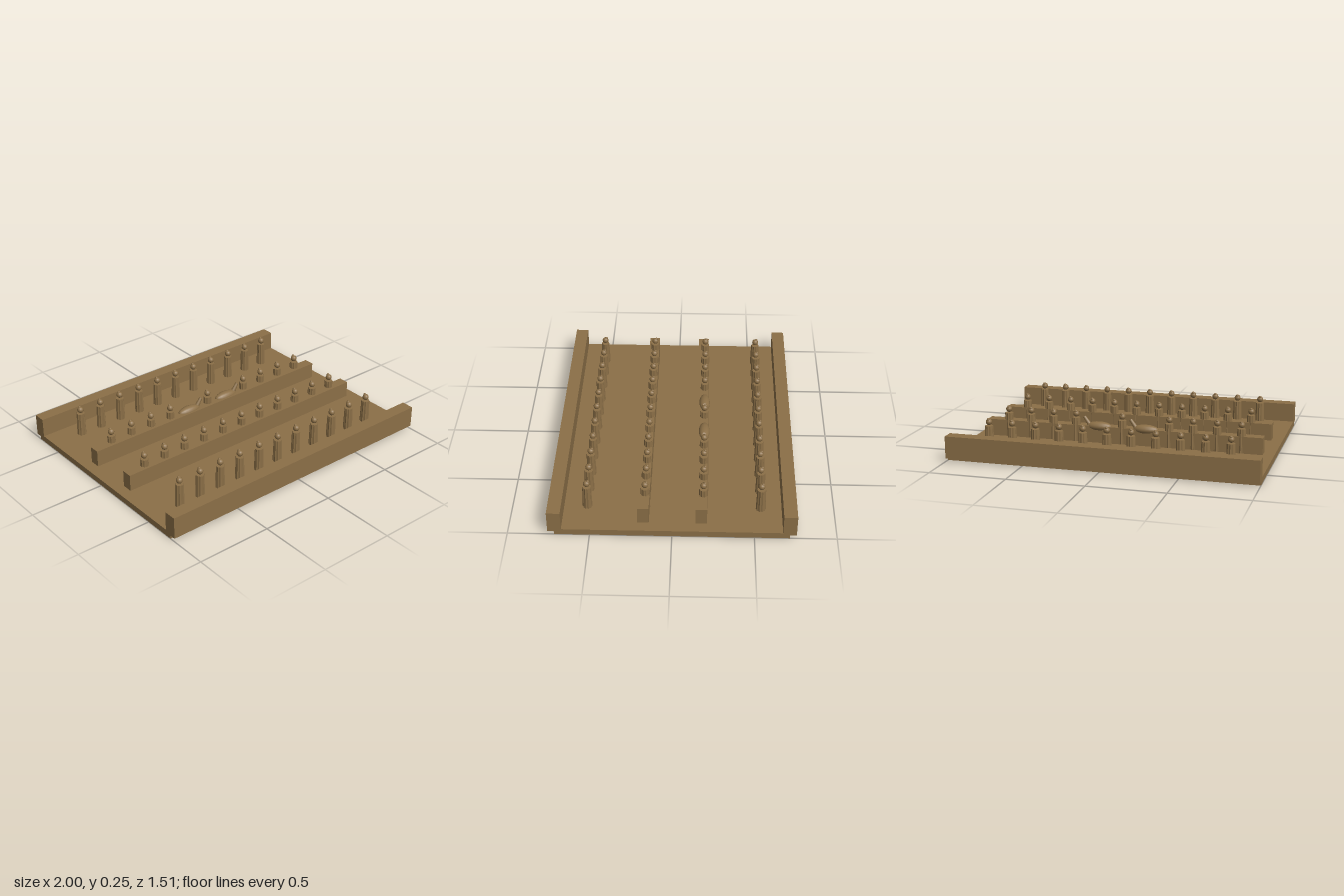
import * as THREE from 'three';

const clay = new THREE.MeshStandardMaterial({ color: 0x8b6f47 });
clay.name = 'brown';
const facetedClay = clay.clone();
facetedClay.flatShading = true;

function part(parent, name, geometry, x, y, z, material = clay) {
  const mesh = new THREE.Mesh(geometry, material);
  mesh.name = name;
  mesh.position.set(x, y, z);
  parent.add(mesh);
  return mesh;
}

// Slightly tapered column with pleats running down its side
function pleatedBody(top, bottom, height, pleats) {
  const geometry = new THREE.CylinderGeometry(top, bottom, height, pleats * 2, 1);
  const p = geometry.attributes.position;
  for (let i = 0; i < p.count; i++) {
    const angle = Math.atan2(p.getX(i), p.getZ(i));
    const k = 0.94 + 0.06 * Math.cos(angle * pleats);
    p.setX(i, p.getX(i) * k);
    p.setZ(i, p.getZ(i) * k);
  }
  return geometry;
}

const robe = pleatedBody(0.027, 0.031, 0.155, 10);
const skull = new THREE.SphereGeometry(0.021, 12, 8);
const knot = new THREE.SphereGeometry(0.01, 8, 6);

// Standing figure: robe, head and topknot
function figure(x, z) {
  const g = new THREE.Group();
  g.name = 'standingFigure';
  part(g, 'robe', robe, 0, 0.1195, 0, facetedClay);
  part(g, 'head', skull, 0, 0.222, 0);
  part(g, 'topknot', knot, 0, 0.238, -0.008);
  g.position.set(x, 0, z);
  return g;
}

const barrel = new THREE.SphereGeometry(1, 16, 10).rotateZ(Math.PI / 2).scale(0.086, 0.031, 0.036);
const neckShape = new THREE.CylinderGeometry(0.011, 0.016, 0.085, 8);

// Animal: long rounded body with a raised neck toward +x
function animal(x, z) {
  const g = new THREE.Group();
  g.name = 'animal';
  part(g, 'animalBody', barrel, 0, 0.147, 0);
  part(g, 'animalNeck', neckShape, 0.077, 0.171, 0).rotation.z = -0.62;
  g.position.set(x, 0, z);
  return g;
}

export function createModel() {
  const model = new THREE.Group();
  model.name = 'pitModel';

  // Floor slab
  part(model, 'floor', new THREE.BoxGeometry(2, 0.04, 1.43), 0, 0.02, 0);

  // Outer walls and inner partitions
  for (const s of [1, -1]) {
    part(model, 'outerWall', new THREE.BoxGeometry(2, 0.143, 0.083), 0, 0.0935, s * 0.7135);
    part(model, 'partition', new THREE.BoxGeometry(1.854, 0.112, 0.07), 0, 0.094, s * 0.1775);
  }

  // Four ranks of eleven; two places in the third rank hold animals
  [0.527, 0.17, -0.188, -0.543].forEach((z, rank) => {
    for (let i = -5; i <= 5; i++) {
      const x = i * 0.157;
      const isAnimal = rank === 2 && Math.abs(i) === 1;
      model.add(isAnimal ? animal(x, z) : figure(x, z));
    }
  });
  return model;
}
